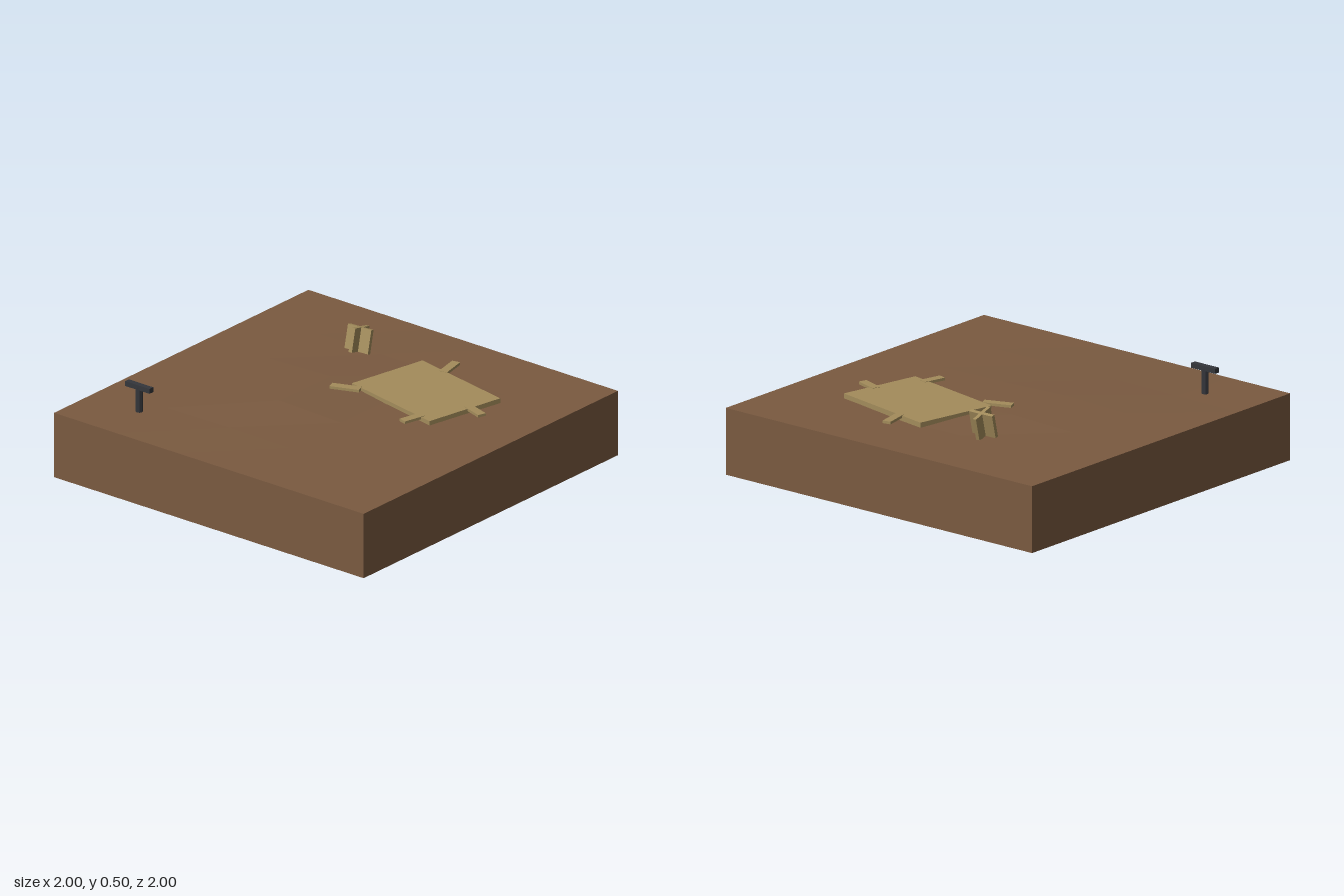
import * as THREE from 'three';

const mat = (color, side = THREE.FrontSide) =>
  new THREE.MeshStandardMaterial({ color, side, flatShading: true });

function add(parent, name, geometry, material, pos = [0, 0, 0], rot = [0, 0, 0]) {
  const mesh = new THREE.Mesh(geometry, material);
  mesh.name = name;
  mesh.position.set(...pos);
  mesh.rotation.set(...rot);
  parent.add(mesh);
  return mesh;
}

export function createModel() {
  const root = new THREE.Group();
  root.name = 'campTile';
  const earth = mat(0x7a5a40, THREE.DoubleSide);
  const wood = mat(0xa38c5b);
  const iron = mat(0x34363b);
  const TOP = 0.35;

  // Ground: gently uneven 5 x 5 surface over an open-bottomed skirt
  const ground = new THREE.Group();
  ground.name = 'ground';
  root.add(ground);
  const bumps = [ // thousandths above TOP, rows from back to front
    [0, 0, 0, 0, 0, 0],
    [0, 3, 4, 0, 2, 0],
    [0, 5, 17, 6, 4, 0],
    [0, 6, 20, 8, 3, 0],
    [0, 3, 7, 4, 2, 0],
    [0, 0, 0, 0, 0, 0],
  ];
  const surface = new THREE.PlaneGeometry(2, 2, 5, 5).rotateX(-Math.PI / 2);
  bumps.flat().forEach((h, i) => surface.attributes.position.setY(i, TOP + h / 1000));
  surface.computeVertexNormals();
  add(ground, 'groundSurface', surface, earth);
  for (let i = 0; i < 4; i++) {
    const wall = new THREE.PlaneGeometry(2, TOP).translate(0, TOP / 2, 1);
    add(ground, 'groundWall', wall, earth, [0, 0, 0], [0, i * Math.PI / 2, 0]);
  }

  // Fallen panel with four short splayed legs
  const panel = new THREE.Group();
  panel.name = 'fallenTable';
  root.add(panel);
  add(panel, 'tableTop', new THREE.BoxGeometry(0.615, 0.03, 0.455), wood,
    [0.3, 0.363, -0.343], [0, -0.2, 0]);
  const legs = [ // inner end x, z and outer end x, z
    [0.215, -0.58, 0.185, -0.72],
    [0.58, -0.33, 0.705, -0.29],
    [0.475, -0.1, 0.445, 0.02],
    [0.03, -0.155, -0.115, -0.1],
  ];
  for (const [x0, z0, x1, z1] of legs) {
    const length = Math.hypot(x1 - x0, z1 - z0);
    add(panel, 'tableLeg', new THREE.BoxGeometry(length, 0.014, 0.045), wood,
      [(x0 + x1) / 2, 0.373, (z0 + z1) / 2], [0, -Math.atan2(z1 - z0, x1 - x0), 0]);
  }

  // Two crossed boards leaning backwards
  const cross = new THREE.Group();
  cross.name = 'crossedBoards';
  cross.position.set(-0.303, 0.425, -0.55);
  cross.rotation.set(-0.25, 0.05, 0.02);
  root.add(cross);
  add(cross, 'wideBoard', new THREE.BoxGeometry(0.145, 0.125, 0.02), wood);
  add(cross, 'deepBoard', new THREE.BoxGeometry(0.02, 0.125, 0.135), wood,
    [0, 0, 0], [0, 0.06, 0]);

  // Dark T-shaped handle standing in the front corner
  const handle = new THREE.Group();
  handle.name = 'groundHandle';
  handle.position.set(-0.68, 0, 0.72);
  root.add(handle);
  add(handle, 'handlePost', new THREE.CylinderGeometry(0.018, 0.018, 0.142, 8), iron,
    [0, 0.417, 0]);
  add(handle, 'handleBar', new THREE.BoxGeometry(0.157, 0.026, 0.03), iron, [0, 0.487, 0]);

  return root;
}
